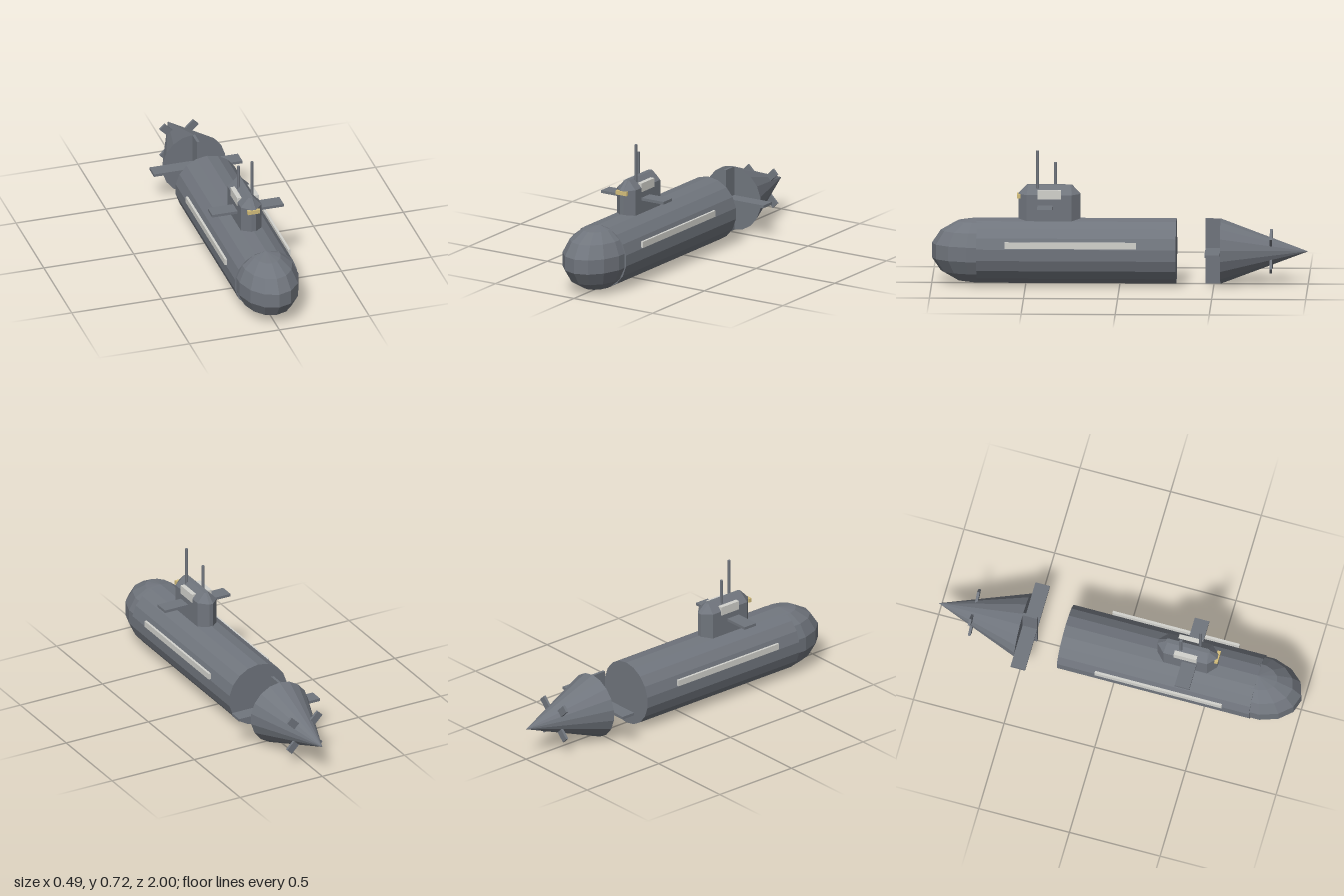
import * as THREE from 'three';

export function createModel() {
  const model = new THREE.Group();
  model.name = 'submarine';

  const mat = (name, color) => {
    const m = new THREE.MeshStandardMaterial({ color });
    m.name = name;
    return m;
  };
  const steel = mat('steel grey', 0x70757d);
  const pale = mat('pale grey', 0xd2d2cd);
  const amber = mat('amber', 0xd4be7c);

  // Every part is faceted, so normals are taken per face
  const add = (name, geometry, material, x, y, z) => {
    const flat = geometry.index ? geometry.toNonIndexed() : geometry;
    flat.computeVertexNormals();
    const mesh = new THREE.Mesh(flat, material);
    mesh.name = name;
    mesh.position.set(x, y, z);
    model.add(mesh);
    return mesh;
  };
  const box = (name, w, h, d, material, x, y, z) =>
    add(name, new THREE.BoxGeometry(w, h, d), material, x, y, z);

  const R = 0.176, SIDES = 18;

  // Hull tube and faceted bow
  const tube = new THREE.CylinderGeometry(R, R, 1.06, SIDES).rotateX(Math.PI / 2);
  tube.rotateZ(Math.PI); // a corner at the very top
  add('hull', tube, steel, 0, R, 0.23);
  const nose = new THREE.SphereGeometry(R, 14, 7).rotateY(Math.PI / 2);
  nose.scale(0.98, 1, 0.246 / R);
  add('bow', nose, steel, 0, R, 0.76);

  // Tail cone, set apart from the hull
  const cone = new THREE.ConeGeometry(R, 0.465, SIDES).rotateX(-Math.PI / 2);
  add('tailCone', cone, steel, 0, R, -0.7675);

  // Stern control surfaces
  box('rudder', 0.015, 0.35, 0.08, steel, 0, R, -0.495);
  box('sternPlane', 0.492, 0.015, 0.08, steel, 0, 0.186, -0.495);

  // Four diagonal propeller blades
  for (let i = 0; i < 4; i++) {
    const blade = new THREE.BoxGeometry(0.04, 0.084, 0.014).translate(0, 0.09, 0);
    blade.rotateZ(Math.PI / 4 + i * Math.PI / 2);
    add('propellerBlade', blade, steel, 0, R, -0.803);
  }

  // Sail: octagonal cross-sections narrowing to a slim roof
  const ring = (y, wide, slim, z0, z1, cut) => [
    [slim, y, z1], [wide, y, z1 - cut], [wide, y, z0 + cut], [slim, y, z0],
    [-slim, y, z0], [-wide, y, z0 + cut], [-wide, y, z1 - cut], [-slim, y, z1],
  ];
  const rings = [
    ring(0.3, 0.058, 0.012, 0.21, 0.54, 0.045),
    ring(0.482, 0.058, 0.012, 0.21, 0.54, 0.045),
    ring(0.53, 0.012, 0.006, 0.255, 0.495, 0.008),
  ];
  const pos = [];
  for (let r = 0; r < 2; r++) {
    for (let i = 0; i < 8; i++) {
      const j = (i + 1) % 8;
      const [a, b, c, d] = [rings[r][i], rings[r][j], rings[r + 1][j], rings[r + 1][i]];
      pos.push(...a, ...b, ...c, ...a, ...c, ...d);
    }
  }
  for (let i = 1; i < 7; i++) pos.push(...rings[2][0], ...rings[2][i], ...rings[2][i + 1]);
  const sail = new THREE.BufferGeometry();
  sail.setAttribute('position', new THREE.Float32BufferAttribute(pos, 3));
  add('sail', sail, steel, 0, 0, 0);

  // Sail fittings
  box('sailPlane', 0.398, 0.015, 0.08, steel, 0, 0.42, 0.397);
  box('frontLamp', 0.068, 0.022, 0.018, amber, 0, 0.47, 0.538);

  // Mirrored pale panels on sail and hull
  for (const s of [1, -1]) {
    box('sailWindow', 0.025, 0.048, 0.125, pale, s * 0.0475, 0.483, 0.375);
    box('sideStrip', 0.013, 0.034, 0.7, pale, s * 0.1765, 0.23, 0.26);
  }

  // Periscope and short mast
  for (const [name, x, z, top] of [['periscope', 0.023, 0.437, 0.717], ['mast', -0.024, 0.343, 0.646]]) {
    const h = top - 0.5;
    add(name, new THREE.CylinderGeometry(0.0085, 0.0085, h, 6), steel, x, 0.5 + h / 2, z);
  }

  return model;
}
